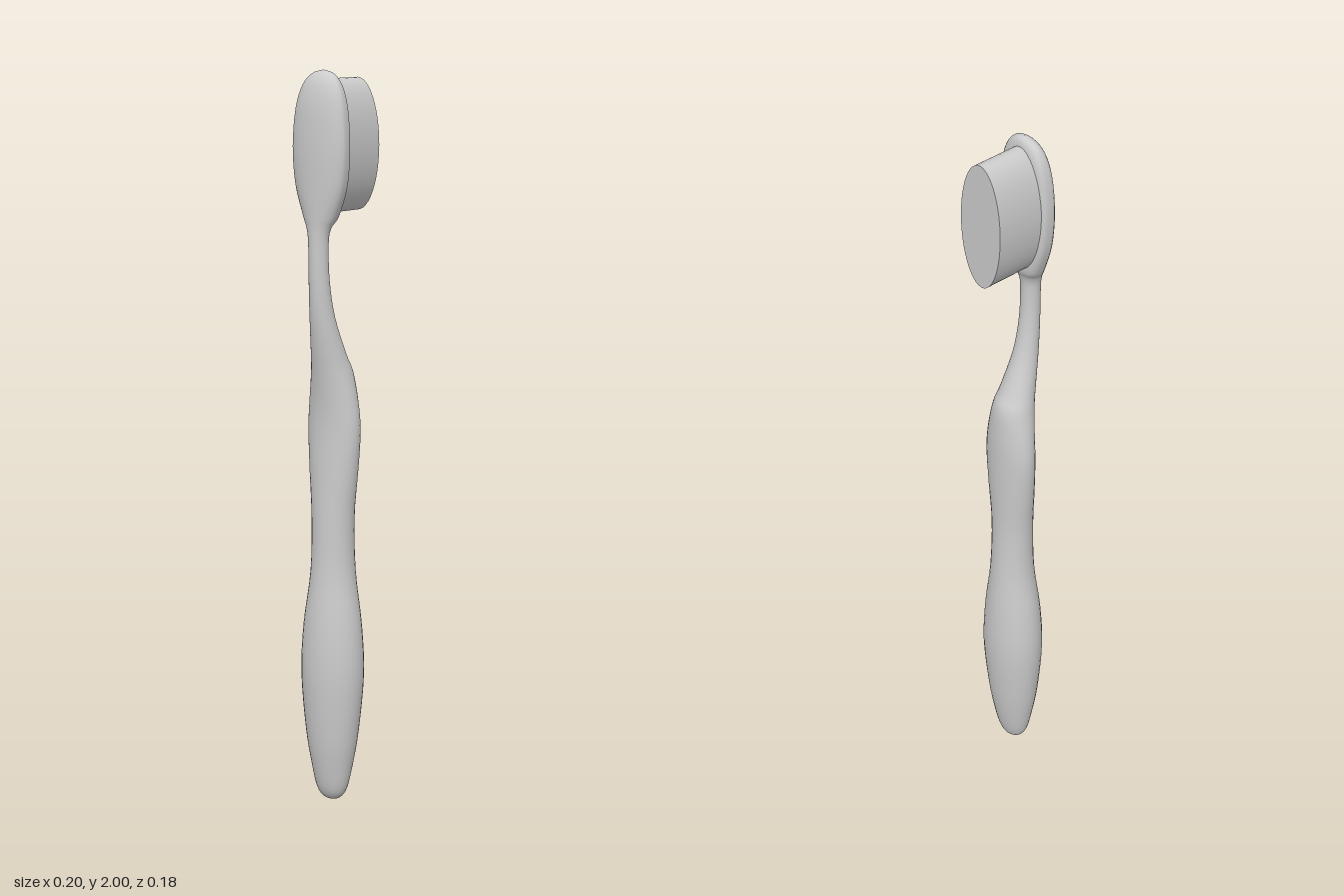
import * as THREE from 'three';

const material = new THREE.MeshStandardMaterial({ color: 0xcccccc });

// Handle and head sections: [y, back x, front x, half width in z, squareness of the front]
const SECTIONS = [
  [0, -0.015, -0.015, 0, 2],
  [0.008, -0.034, 0.006, 0.026, 2],
  [0.035, -0.05, 0.021, 0.045, 2],
  [0.1, -0.064, 0.037, 0.06, 2],
  [0.2, -0.078, 0.052, 0.077, 2],
  [0.36, -0.088, 0.065, 0.091, 2],
  [0.5, -0.083, 0.061, 0.084, 2],
  [0.65, -0.068, 0.05, 0.063, 2],
  [0.8, -0.063, 0.044, 0.061, 2],
  [0.93, -0.058, 0.046, 0.073, 2],
  [1.04, -0.054, 0.047, 0.08, 2],
  [1.12, -0.057, 0.046, 0.073, 2],
  [1.2, -0.067, 0.04, 0.058, 2],
  [1.25, -0.075, 0.017, 0.048, 2],
  [1.35, -0.09, -0.022, 0.034, 2],
  [1.45, -0.097, -0.042, 0.028, 2],
  [1.55, -0.098, -0.047, 0.028, 2],
  [1.59, -0.098, -0.042, 0.036, 2],
  [1.62, -0.099, -0.031, 0.051, 3],
  [1.7, -0.101, -0.03, 0.077, 4],
  [1.8, -0.102, -0.03, 0.086, 4],
  [1.9, -0.097, -0.03, 0.078, 4],
  [1.96, -0.085, -0.03, 0.06, 3],
  [1.99, -0.068, -0.035, 0.034, 2],
  [2, -0.05, -0.05, 0, 2],
];

// Smooth skin over the sections, closed to a point at both ends
function loft(sections, sides, stepsPerSection) {
  const outline = new THREE.CatmullRomCurve3(
    sections.map(([y, back, front]) => new THREE.Vector3(back, y, front)), false, 'catmullrom');
  const width = new THREE.CatmullRomCurve3(
    sections.map(([y, , , half, power]) => new THREE.Vector3(half, y, power)), false, 'catmullrom');
  const rings = (sections.length - 1) * stepsPerSection;
  const positions = [], index = [];
  for (let r = 0; r <= rings; r++) {
    const o = outline.getPoint(r / rings), w = width.getPoint(r / rings);
    const mid = (o.x + o.z) / 2, half = (o.z - o.x) / 2;
    for (let s = 0; s < sides; s++) {
      const a = (s / sides) * Math.PI * 2, c = Math.cos(a), n = Math.sin(a);
      const e = c > 0 ? 2 / w.z : 1;
      positions.push(
        mid + half * Math.sign(c) * Math.abs(c) ** e, o.y,
        w.x * Math.sign(n) * Math.abs(n) ** e);
      if (r < rings) {
        const i = r * sides + s, j = r * sides + ((s + 1) % sides);
        index.push(i, i + sides, j, j, i + sides, j + sides);
      }
    }
  }
  const geometry = new THREE.BufferGeometry();
  geometry.setAttribute('position', new THREE.Float32BufferAttribute(positions, 3));
  geometry.setIndex(index);
  geometry.computeVertexNormals();
  return geometry;
}

export function createModel() {
  const group = new THREE.Group();
  group.name = 'toothbrush';

  const body = new THREE.Mesh(loft(SECTIONS, 32, 4), material);
  body.name = 'handleAndHead';
  group.add(body);

  // Oval bristle block standing out from the head toward +x
  const start = -0.04, end = 0.102;
  const block = new THREE.CylinderGeometry(1, 1, end - start, 48);
  block.rotateZ(-Math.PI / 2);
  block.scale(1, 0.176, 0.072);
  const bristles = new THREE.Mesh(block, material);
  bristles.name = 'bristles';
  bristles.position.set((start + end) / 2, 1.8, -0.003);
  group.add(bristles);

  return group;
}
